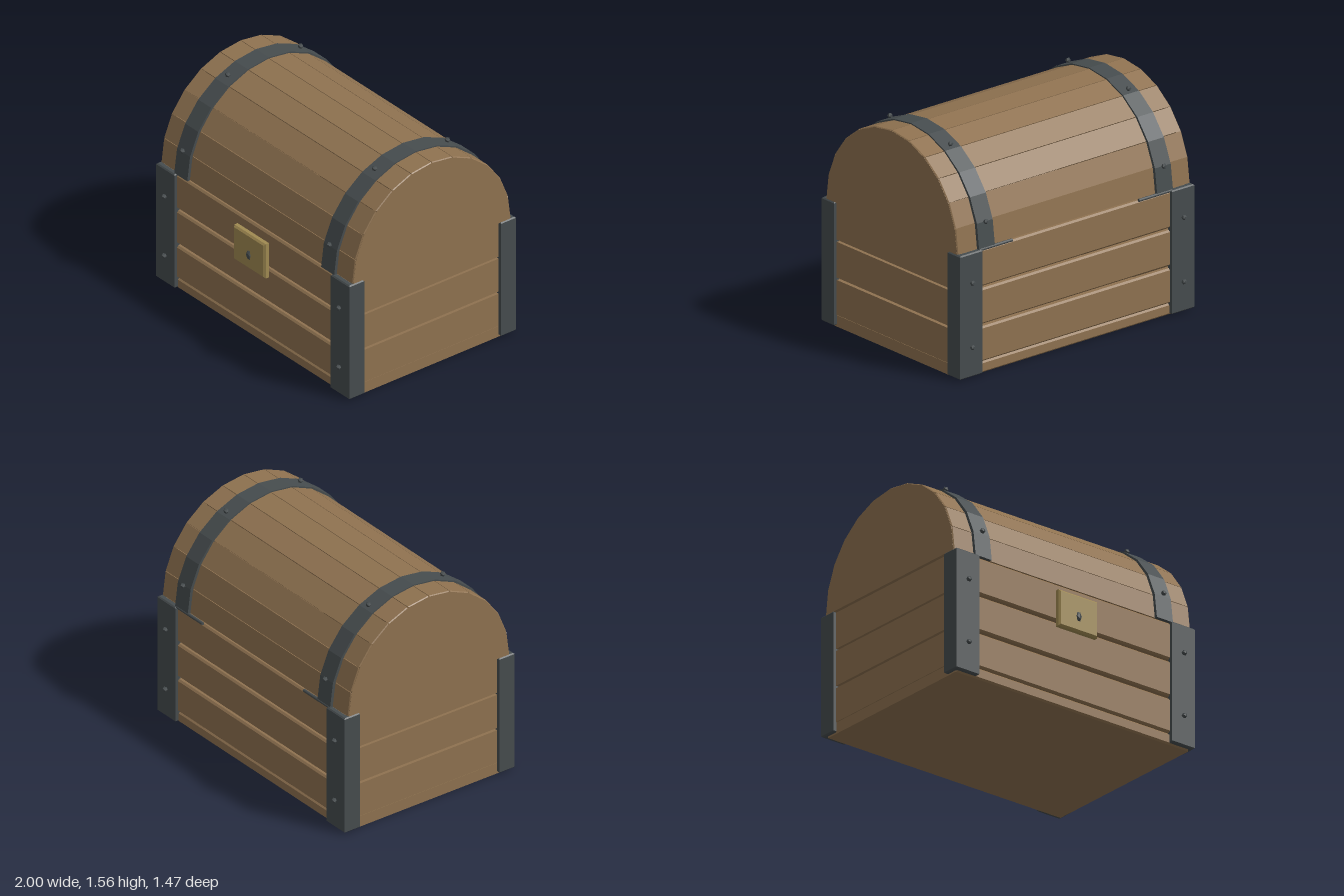
import * as THREE from 'three';

const ZC = -0.012; // middle of the chest body
const LID_Y = 0.875;

export function createModel() {
  const wood = new THREE.MeshStandardMaterial({ name: 'wood', color: 0x8f7250 });
  const iron = new THREE.MeshStandardMaterial({ name: 'iron', color: 0x464c4e });
  const brass = new THREE.MeshStandardMaterial({ name: 'brass', color: 0xa08a52 });
  const chest = new THREE.Group();
  chest.name = 'treasureChest';

  const add = (name, geometry, material, x = 0, y = 0, z = 0) => {
    const mesh = new THREE.Mesh(geometry, material);
    mesh.name = name;
    mesh.position.set(x, y, z);
    chest.add(mesh);
    return mesh;
  };

  // Extrusion centred on its depth, with a chamfer cut into its outline
  const extrude = (points, depth, bevel) => {
    const shape = new THREE.Shape(points.map(([a, b]) => new THREE.Vector2(a, b)));
    const g = new THREE.ExtrudeGeometry(shape, {
      depth: depth - 2 * bevel, bevelEnabled: bevel > 0, bevelThickness: bevel,
      bevelSize: bevel, bevelOffset: -bevel, bevelSegments: 1,
    });
    return g.translate(0, 0, bevel - depth / 2);
  };
  const chamferBox = (w, h, d, b) =>
    extrude([[-w / 2, -h / 2], [w / 2, -h / 2], [w / 2, h / 2], [-w / 2, h / 2]], d, b);
  // Profile drawn in z and y, extruded along x
  const alongX = (points, width, bevel) => extrude(points, width, bevel).rotateY(-Math.PI / 2);
  const arc = (angle, rz, ry) => [rz * Math.cos(angle), ry * Math.sin(angle)];

  // Floor and the three rows of wall planks
  add('floor', chamferBox(1.95, 0.08, 1.34, 0.012), wood, 0, 0.04, ZC);
  for (const [low, high] of [[0.083, 0.327], [0.344, 0.594], [0.609, 0.868]]) {
    const h = high - low, y = (low + high) / 2;
    for (const s of [-1, 1]) {
      add(s > 0 ? 'frontPlank' : 'backPlank', chamferBox(1.95, h, 0.05, 0.012), wood, 0, y, ZC + s * 0.652);
      add('sidePlank', chamferBox(0.05, h, 1.25, 0.012), wood, s * 0.952, y, ZC);
    }
  }

  // Angle irons on the four corners, riveted front and back
  const rivetShape = new THREE.IcosahedronGeometry(0.019, 0);
  const rivet = (x, y, z) => add('rivet', rivetShape, iron, x, y, z);
  for (const sx of [-1, 1]) for (const sz of [-1, 1]) {
    const outline = [[1, 0.698], [0.808, 0.698], [0.808, 0.655], [0.957, 0.655], [0.957, 0.572], [1, 0.572]];
    const angleIron = extrude(outline.map(([x, z]) => [sx * x, -sz * z]), 0.865, 0.008);
    add('cornerIron', angleIron.rotateX(-Math.PI / 2), iron, 0, 0.443, ZC);
    for (const y of [0.22, 0.67]) rivet(sx * 0.903, y, ZC + sz * 0.71);
  }

  // Barrel lid of twelve staves
  const SEG = 12, step = Math.PI / SEG;
  for (let i = 0; i < SEG; i++) {
    const a = i * step + 0.003, b = (i + 1) * step - 0.003;
    const stave = [arc(a, 0.663, 0.675), arc(b, 0.663, 0.675), arc(b, 0.613, 0.625), arc(a, 0.613, 0.625)];
    add('lidStave', alongX(stave, 1.984, 0.006), wood, 0, LID_Y, ZC);
  }

  // Lid ends, iron straps with rivets, and hinges
  const halfRing = (rz, ry) => Array.from({ length: SEG + 1 }, (_, i) => arc(i * step, rz, ry));
  for (const s of [-1, 1]) {
    add('lidEnd', alongX(halfRing(0.656, 0.669), 0.04, 0), wood, s * 0.973, LID_Y, ZC);
    const strap = [...halfRing(0.685, 0.683), ...halfRing(0.658, 0.664).reverse()];
    add('lidStrap', alongX(strap, 0.135, 0), iron, s * 0.76, LID_Y, ZC);
    for (const [y, z] of [[1.07, 0.661], [1.506, 0.28], [1.492, -0.33], [1.055, -0.687]]) {
      rivet(s * 0.76, y, z);
    }
    const hinge = new THREE.CylinderGeometry(0.011, 0.011, 0.28, 8).rotateZ(Math.PI / 2);
    add('hinge', hinge, iron, s * 0.68, 0.872, -0.69);
  }

  // Lock plate and keyhole
  add('lockPlate', chamferBox(0.325, 0.26, 0.05, 0.012), brass, 0, 0.68, 0.694);
  const keyhole = new THREE.IcosahedronGeometry(0.022, 0).scale(1, 1.7, 0.7);
  add('keyhole', keyhole, iron, 0, 0.657, 0.719);

  return chest;
}
